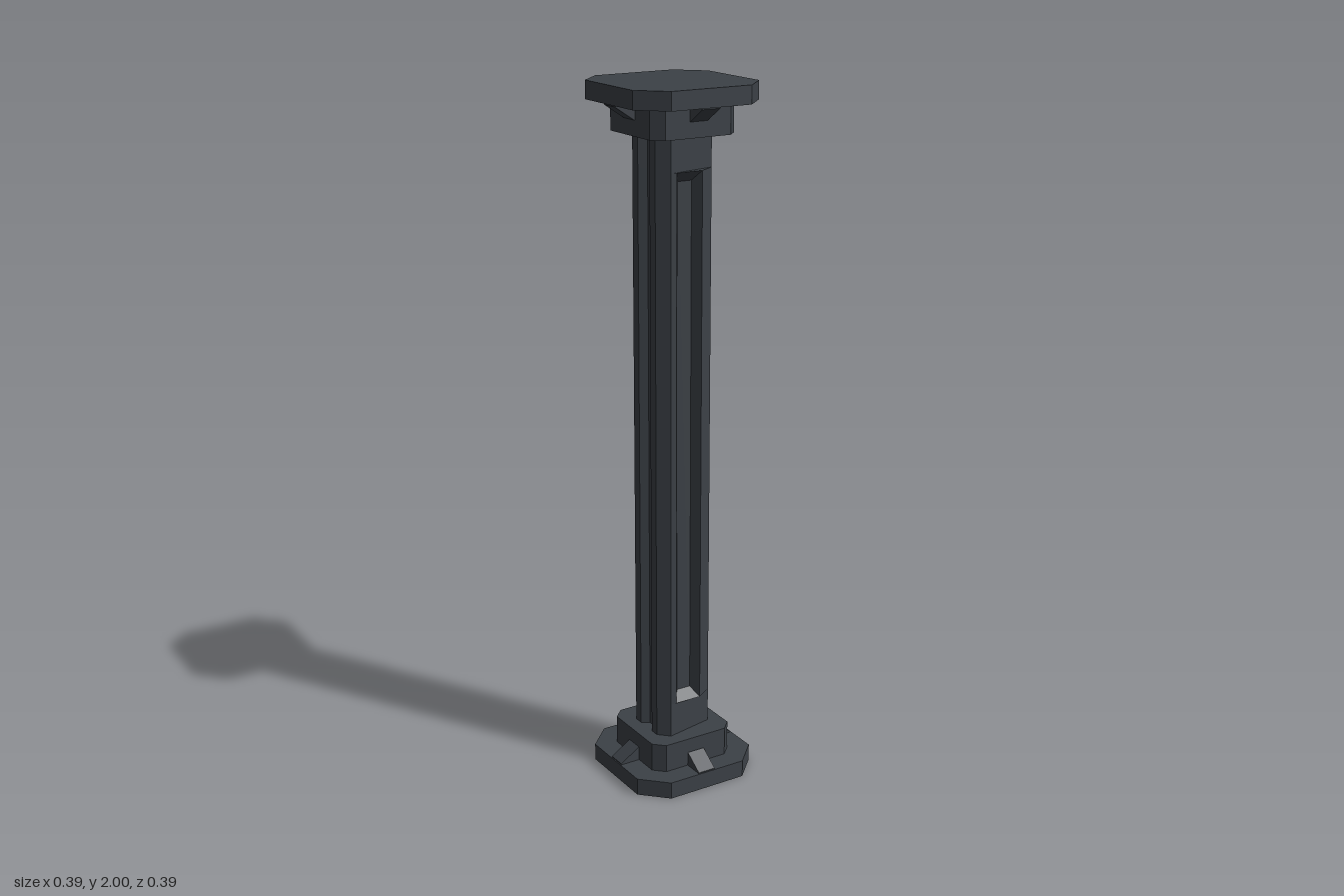
import * as THREE from 'three';

const metal = new THREE.MeshStandardMaterial({ color: 0x3c4147 });
metal.name = 'dark gunmetal';

// Upright prism from a plan outline, spanning y0 to y1
function prism(name, points, y0, y1) {
  const shape = new THREE.Shape(points.map(([x, z]) => new THREE.Vector2(x, z)));
  const geo = new THREE.ExtrudeGeometry(shape, { depth: y1 - y0, bevelEnabled: false });
  geo.rotateX(-Math.PI / 2).translate(0, y0, 0);
  const mesh = new THREE.Mesh(geo, metal);
  mesh.name = name;
  return mesh;
}

// Square plan with cut corners: h is the half width, c the half length of a flat side
const octagon = (h, c) => [[h, -c], [h, c], [c, h], [-c, h], [-h, c], [-h, -c], [-c, -h], [c, -h]];

// Wedge whose (z, y) side profile is stretched along x
function wedge(name, profile, width) {
  const shape = new THREE.Shape(profile.map(([z, y]) => new THREE.Vector2(z, y)));
  const geo = new THREE.ExtrudeGeometry(shape, { depth: width, bevelEnabled: false });
  geo.translate(0, 0, -width / 2).rotateY(-Math.PI / 2);
  const mesh = new THREE.Mesh(geo, metal);
  mesh.name = name;
  return mesh;
}

const H = 0.088, C = 0.058;
const D = 0.026; // panel depth

// Shaft plan: grooves on the left and right, optional panel recess on front and back
function shaftPlan(recessed) {
  const half = [[H, -C], [H, -0.03], [H - 0.022, -0.016], [H - 0.022, 0.016], [H, 0.03], [H, C], [C, H]];
  if (recessed) half.push([0.04, H], [0.022, H - D], [-0.022, H - D], [-0.04, H]);
  return [...half, ...half.map(([x, z]) => [-x, -z])];
}

// Foot: plate, collar and four sloping brackets
function createFoot(name) {
  const foot = new THREE.Group();
  foot.name = name;
  foot.add(prism('plate', octagon(0.193, 0.122), 0, 0.05));
  foot.add(prism('collar', octagon(0.13, 0.1), 0.05, 0.134));
  for (let i = 0; i < 4; i++) {
    const bracket = wedge('bracket', [[0.12, 0.045], [0.19, 0.045], [0.19, 0.053], [0.132, 0.091], [0.12, 0.091]], 0.054);
    bracket.rotation.y = i * Math.PI / 2;
    foot.add(bracket);
  }
  return foot;
}

export function createModel() {
  const model = new THREE.Group();
  model.name = 'pillar';

  // Shaft in three stacked lengths, the middle one with the panels
  const low = 0.235, high = 1.772;
  model.add(prism('lowerShaft', shaftPlan(false), 0.13, low));
  model.add(prism('panelledShaft', shaftPlan(true), low, high));
  model.add(prism('upperShaft', shaftPlan(false), high, 1.87));

  // Sloping ends of the recessed panels
  for (const turn of [0, Math.PI]) {
    for (const [y, rise] of [[low, 0.028], [high, -0.028]]) {
      const profile = [[H - D - 0.005, y], [H, y], [H - D, y + rise], [H - D - 0.005, y + rise]];
      const end = wedge('panelEnd', profile, 0.08);
      end.rotation.y = turn;
      model.add(end);
    }
  }

  // Base, and the same piece turned over as the capital
  model.add(createFoot('base'));
  const capital = createFoot('capital');
  capital.rotation.x = Math.PI;
  capital.position.y = 2;
  model.add(capital);
  return model;
}
